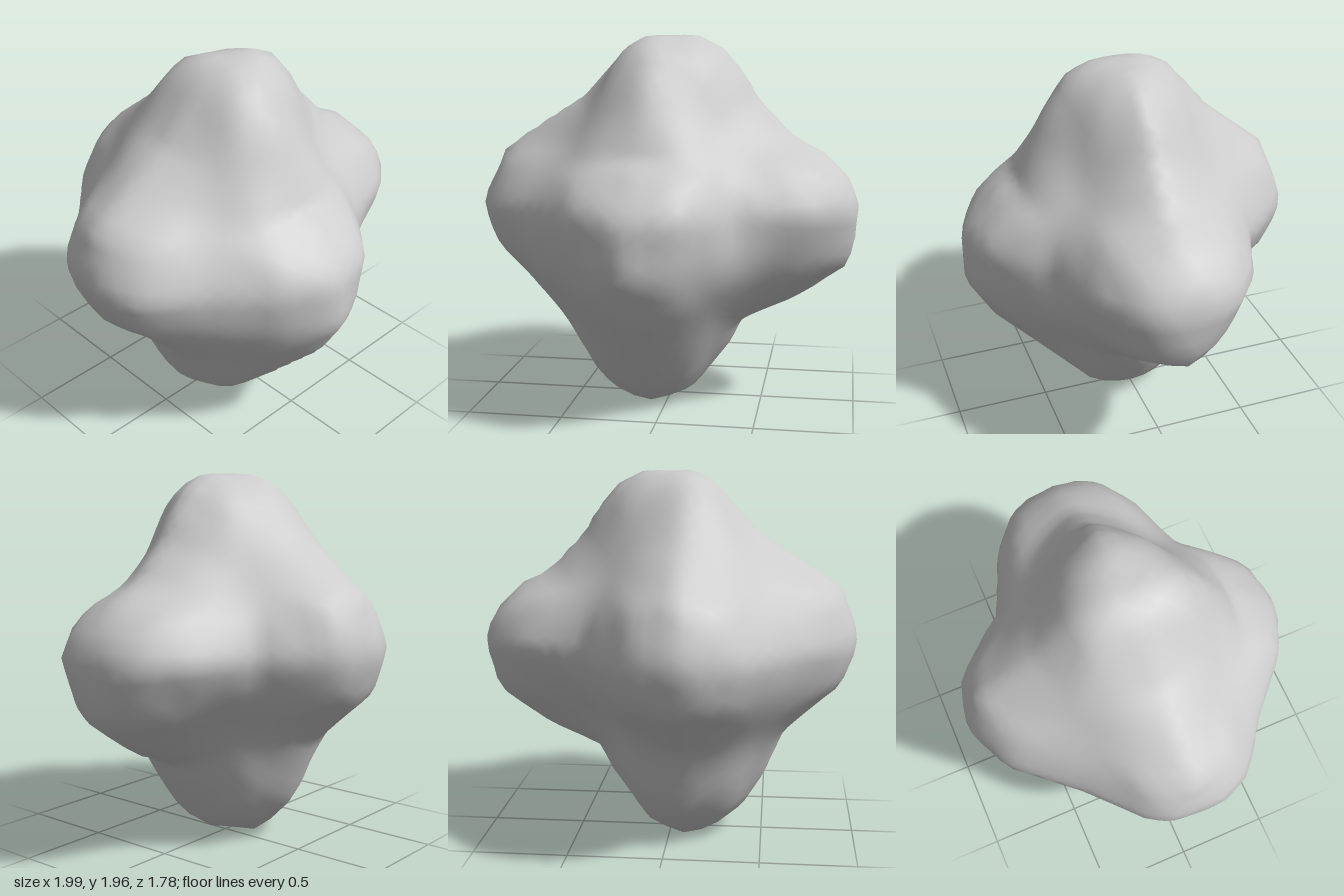
import * as THREE from 'three';
import { mergeVertices } from 'three/addons/utils/BufferGeometryUtils.js';

// Point where the lobes of the rock meet
const core = new THREE.Vector3(-0.08, 1.08, 0.02);

// Outlines of the rock across its three main planes
const sectionXY = [[-0.12, 0], [0.13, 0.06], [0.33, 0.32], [0.40, 0.46], [0.68, 0.58], [0.93, 0.75],
  [0.98, 0.84], [1, 1.1], [0.93, 1.25], [0.80, 1.37], [0.66, 1.44], [0.47, 1.64], [0.40, 1.76], [0.28, 1.90],
  [0.14, 1.97], [-0.12, 1.96], [-0.23, 1.90], [-0.46, 1.65], [-0.70, 1.5], [-0.91, 1.36], [-1, 1.1],
  [-0.92, 0.84], [-0.62, 0.58], [-0.51, 0.32], [-0.39, 0.13], [-0.28, 0.05]];
const sectionZY = [[0.15, 0], [-0.12, 0], [-0.2, 0.05], [-0.38, 0.22], [-0.53, 0.58], [-0.82, 0.84],
  [-0.9, 1.1], [-0.8, 1.37], [-0.47, 1.64], [-0.25, 1.9], [-0.11, 1.97], [0.15, 1.97], [0.29, 1.9], [0.41, 1.74],
  [0.46, 1.64], [0.59, 1.37], [0.69, 1.31], [0.87, 1.1], [0.9, 0.84], [0.75, 0.58], [0.42, 0.22], [0.25, 0.05]];
const sectionXZ = [[-0.12, -0.9], [0.14, -0.84], [0.33, -0.64], [0.40, -0.54], [0.76, -0.39], [0.93, -0.25],
  [1, -0.11], [1, 0.15], [0.93, 0.28], [0.76, 0.42], [0.58, 0.48], [0.40, 0.54], [0.30, 0.67], [0.14, 0.83],
  [-0.12, 0.89], [-0.39, 0.77], [-0.65, 0.53], [-0.83, 0.4], [-0.92, 0.32], [-1, 0.15], [-0.98, -0.12],
  [-0.91, -0.24], [-0.65, -0.48], [-0.39, -0.78]];

// Radius at the middle of each face between three lobes, keyed by the signs of x, y, z
const faces = {
  '+++': 0.63, '++-': 0.67, '+-+': 0.75, '+--': 0.66,
  '-++': 0.62, '-+-': 0.67, '--+': 0.76, '---': 0.70,
};

// Distance from the core (u, v) to a closed outline along direction (a, b)
function outlineRadius(points, u, v, a, b) {
  const len = Math.hypot(a, b);
  if (len < 1e-6) return 0.9;
  a /= len;
  b /= len;
  for (let i = 0; i < points.length; i++) {
    const [px, py] = points[i];
    const [qx, qy] = points[(i + 1) % points.length];
    const ex = qx - px, ey = qy - py;
    const den = a * ey - b * ex;
    if (Math.abs(den) < 1e-9) continue;
    const t = ((px - u) * ey - (py - v) * ex) / den;
    const s = ((px - u) * b - (py - v) * a) / den;
    if (t > 0 && s >= -1e-6 && s <= 1 + 1e-6) return t;
  }
  return 0.9;
}

// Blend the three outlines, square the lobes off, then ease towards the face of the octant
function rockRadius({ x, y, z }) {
  const cuts = [
    [x, outlineRadius(sectionZY, core.z, core.y, z, y)],
    [y, outlineRadius(sectionXZ, core.x, core.z, x, z)],
    [z, outlineRadius(sectionXY, core.x, core.y, x, y)],
  ];
  let sum = 0, total = 0, hull = Infinity;
  for (const [n, r] of cuts) {
    const weight = 1 / (n * n + 0.03) ** 2;
    sum += r * weight;
    total += weight;
    hull = Math.min(hull, r / Math.sqrt(Math.max(1 - n * n, 1e-6)));
  }
  const base = 0.5 * (sum / total + hull);
  const key = [x, y, z].map((n) => (n < 0 ? '-' : '+')).join('');
  const depth = Math.min(1, 5.196 * Math.abs(x * y * z)) ** 1.2;
  return base + (faces[key] - base) * depth;
}

export function createModel() {
  const group = new THREE.Group();
  group.name = 'rock';

  // Lumpy boulder: a sphere pushed in and out by the radius rule
  let geometry = new THREE.IcosahedronGeometry(1, 13);
  geometry.deleteAttribute('uv');
  geometry.deleteAttribute('normal');
  geometry = mergeVertices(geometry, 1e-4);
  const pos = geometry.attributes.position;
  const dir = new THREE.Vector3();
  for (let i = 0; i < pos.count; i++) {
    dir.fromBufferAttribute(pos, i).normalize();
    dir.multiplyScalar(rockRadius(dir)).add(core);
    pos.setXYZ(i, dir.x, dir.y, dir.z);
  }
  geometry.computeVertexNormals();

  const stone = new THREE.MeshStandardMaterial({ color: 0xcccccc });
  stone.name = 'pale stone';
  const boulder = new THREE.Mesh(geometry, stone);
  boulder.name = 'boulder';
  group.add(boulder);
  return group;
}
